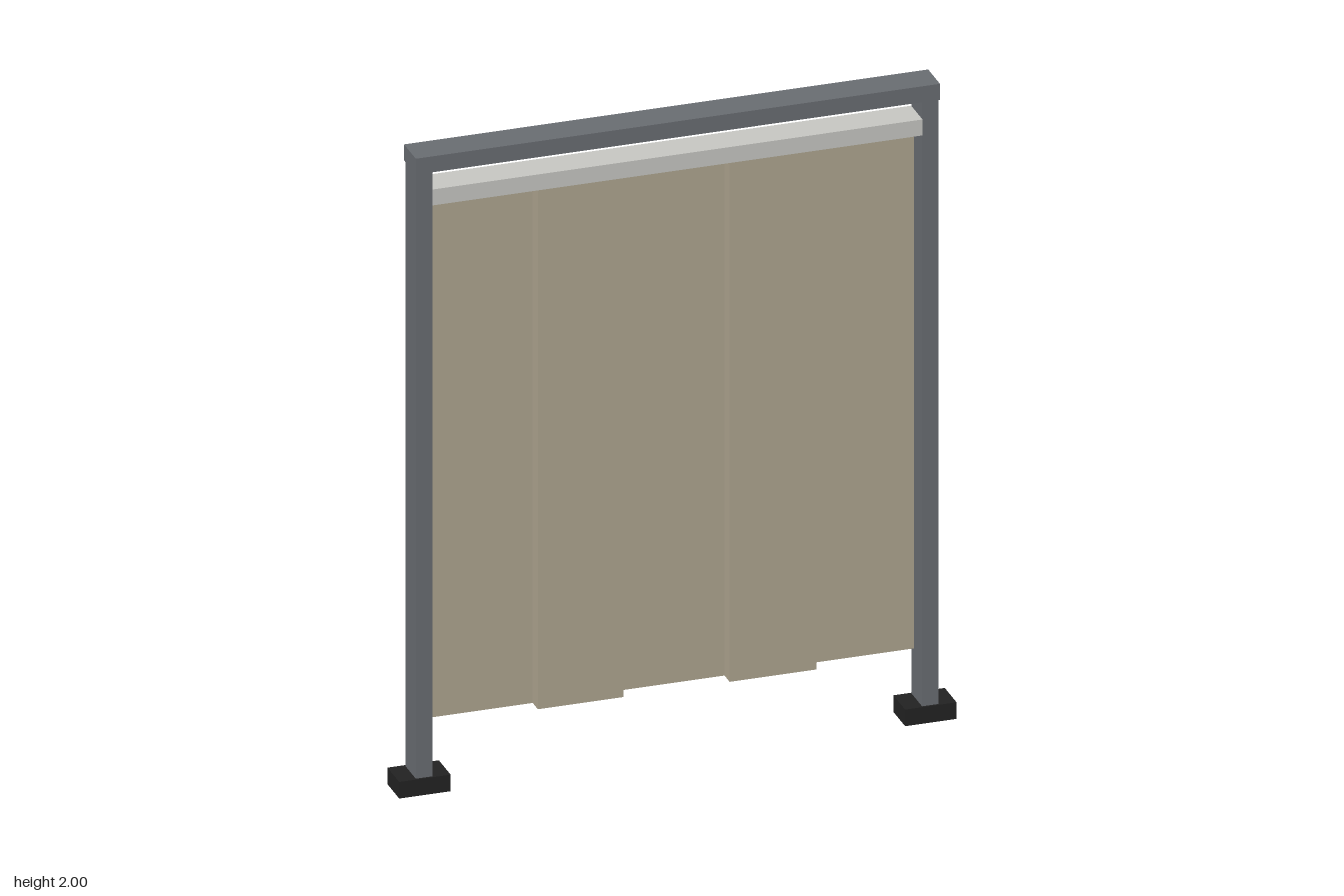
import * as THREE from 'three';

const paint = (name, color) => {
  const m = new THREE.MeshStandardMaterial({ color });
  m.name = name;
  return m;
};

export function createModel() {
  const model = new THREE.Group();
  model.name = 'verticalPanelScreen';
  const steel = paint('slate grey steel', 0x686c71);
  const rubber = paint('black rubber', 0x222222);
  const pale = paint('pale grey rail', 0xc6c6c2);
  const fabric = paint('beige panel', 0xada48f);

  // Box given by its minimum and maximum on each axis
  const box = (name, mat, [x0, x1], [y0, y1], [z0, z1]) => {
    const mesh = new THREE.Mesh(new THREE.BoxGeometry(x1 - x0, y1 - y0, z1 - z0), mat);
    mesh.position.set((x0 + x1) / 2, (y0 + y1) / 2, (z0 + z1) / 2);
    mesh.name = name;
    model.add(mesh);
  };

  // Frame: top beam, two posts, two feet
  box('topBeam', steel, [-0.79, 0.79], [1.95, 2], [-0.052, 0.052]);
  for (const [side, s] of [['left', 1], ['right', -1]]) {
    const span = (a, b) => [a * s, b * s].sort((p, q) => p - q);
    box(side + 'Post', steel, span(0.738, 0.788), [0.01, 1.95], [-0.046, 0.046]);
    box(side + 'Foot', rubber, span(0.685, 0.84), [0, 0.052], [-0.052, 0.052]);
  }

  // Hanging rail between the posts
  box('hangingRail', pale, [-0.738, 0.738], [1.845, 1.895], [-0.05, 0.05]);

  // Panels alternate between the back and front tracks
  const edges = [-0.73, -0.42, -0.162, 0.158, 0.42, 0.73];
  for (let i = 0; i < 5; i++) {
    const depth = i % 2 ? [0, 0.046] : [-0.046, 0];
    box('panel' + (i + 1), fabric, [edges[i], edges[i + 1]], [0.215, 1.85], depth);
  }
  return model;
}
